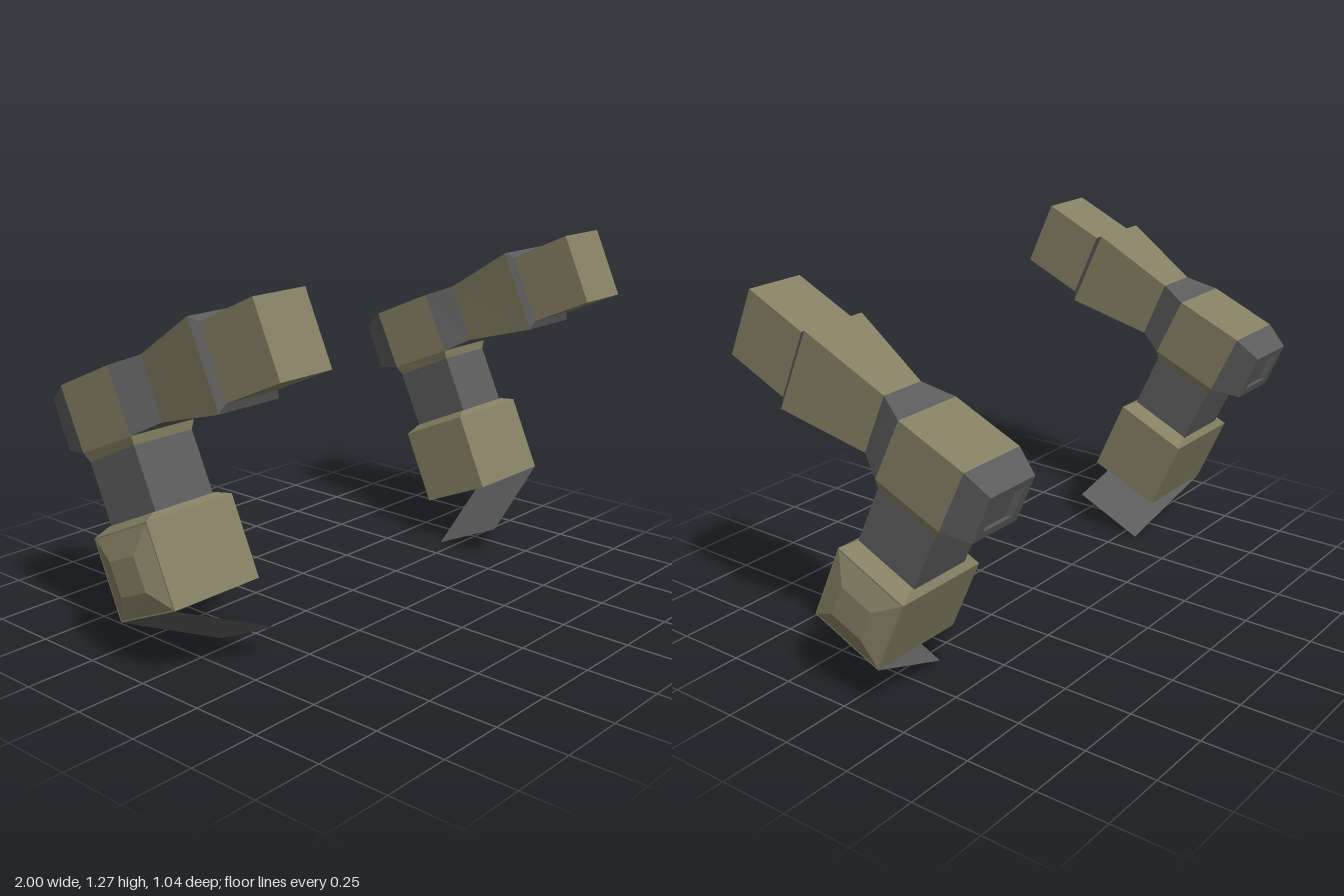
import * as THREE from 'three';

const tan = new THREE.MeshStandardMaterial({ color: 0x857f63, flatShading: true });
tan.name = 'olive tan';
const grey = new THREE.MeshStandardMaterial({ color: 0x5c5c5c, flatShading: true, side: THREE.DoubleSide });
grey.name = 'dark grey';

// Rectangular ring across x0..x1, through two (z, y) points of the side profile
const ring = ([az, ay], [bz, by], x0, x1) => [[x0, ay, az], [x1, ay, az], [x1, by, bz], [x0, by, bz]];

// Four-sided loft through the rings, closed at both ends; one ring gives a plate
function loft(name, material, side, rings) {
  const tris = [];
  const quad = (a, b, c, d) => tris.push([a, b, c], [a, c, d]);
  const pts = rings.map(r => r.map(([x, y, z]) => new THREE.Vector3(x * side, y, z)));
  const last = pts[pts.length - 1];
  quad(...last);
  if (pts.length > 1) quad(...[...pts[0]].reverse());
  for (let i = 0; i + 1 < pts.length; i++) {
    for (let j = 0; j < 4; j++) {
      const k = (j + 1) % 4;
      quad(pts[i][j], pts[i][k], pts[i + 1][k], pts[i + 1][j]);
    }
  }
  // Turn all faces outward, whichever side is being built
  const o = pts[0][0];
  let volume = 0;
  for (const [a, b, c] of tris) {
    volume += a.clone().sub(o).dot(b.clone().sub(o).cross(c.clone().sub(o)));
  }
  if (volume < 0) tris.forEach(t => t.reverse());
  const geometry = new THREE.BufferGeometry().setFromPoints(tris.flat());
  geometry.computeVertexNormals();
  const mesh = new THREE.Mesh(geometry, material);
  mesh.name = name;
  return mesh;
}

function createArm(side) {
  const arm = new THREE.Group();
  arm.name = side > 0 ? 'leftArm' : 'rightArm';
  const add = (name, material, ...rings) => arm.add(loft(name, material, side, rings));

  // Upper arm, from the front end back to the elbow
  const tip = ring([0.417, 1.266], [0.52, 1.037], 0.682, 0.895);
  const tipBack = ring([0.2, 1.167], [0.3, 0.94], 0.682, 0.895);
  const collar = ring([0.168, 1.181], [0.29, 0.909], 0.666, 0.914);
  const waist = ring([-0.1, 1.02], [-0.013, 0.82], 0.703, 0.868);
  const elbowFront = ring([-0.2, 0.98], [-0.1, 0.772], 0.66, 0.92);
  const elbowBack = ring([-0.44, 0.876], [-0.342, 0.668], 0.66, 0.92);
  add('armEnd', tan, tip, tipBack);
  add('collar', grey, tipBack, collar);
  add('taperedArm', tan, collar, waist);
  add('elbowNeck', grey, waist, elbowFront);
  add('elbow', tan, elbowFront, elbowBack);

  // Elbow cap with a shallow recess in its end
  add('elbowCap', grey, elbowBack,
    ring([-0.516, 0.81], [-0.447, 0.65], 0.686, 0.895),
    ring([-0.504, 0.782], [-0.459, 0.678], 0.72, 0.861),
    ring([-0.478, 0.768], [-0.437, 0.674], 0.73, 0.851));

  // Bevelled elbow underside and forearm
  const wrist = ring([-0.1, 0.74], [-0.32, 0.64], 0.67, 0.91);
  add('elbowUnderside', tan, ring([-0.1, 0.772], [-0.342, 0.668], 0.66, 0.92), wrist);
  add('forearm', grey, wrist, ring([-0.01, 0.545], [-0.228, 0.44], 0.67, 0.91));

  // Cuff with a bevelled top and a raised outer panel
  const cuffTop = [0.017, 0.535], cuffBack = [-0.241, 0.417];
  const cuffFront = [0.134, 0.273], cuffLow = [-0.127, 0.16];
  add('cuff', tan,
    ring([-0.01, 0.545], [-0.228, 0.446], 0.66, 0.92),
    ring(cuffTop, cuffBack, 0.612, 0.972),
    ring(cuffFront, cuffLow, 0.612, 0.972));
  const panel = (x, corners) => corners.map(([z, y]) => [x, y, z]);
  add('outerPanel', tan,
    panel(0.97, [cuffTop, cuffBack, cuffLow, cuffFront]),
    panel(1, [[-0.017, 0.423], [-0.135, 0.373], [-0.085, 0.265], [0.035, 0.316]]));

  // Slanted hand plate, hinged on the outer lower edge of the cuff
  add('handPlate', grey, [
    [0.972, 0.273, 0.134], [0.972, 0.16, -0.127],
    [0.605, 0.0, -0.06], [0.605, 0.118, 0.2]]);
  return arm;
}

export function createModel() {
  const model = new THREE.Group();
  model.name = 'armPair';
  model.add(createArm(1), createArm(-1));
  return model;
}
